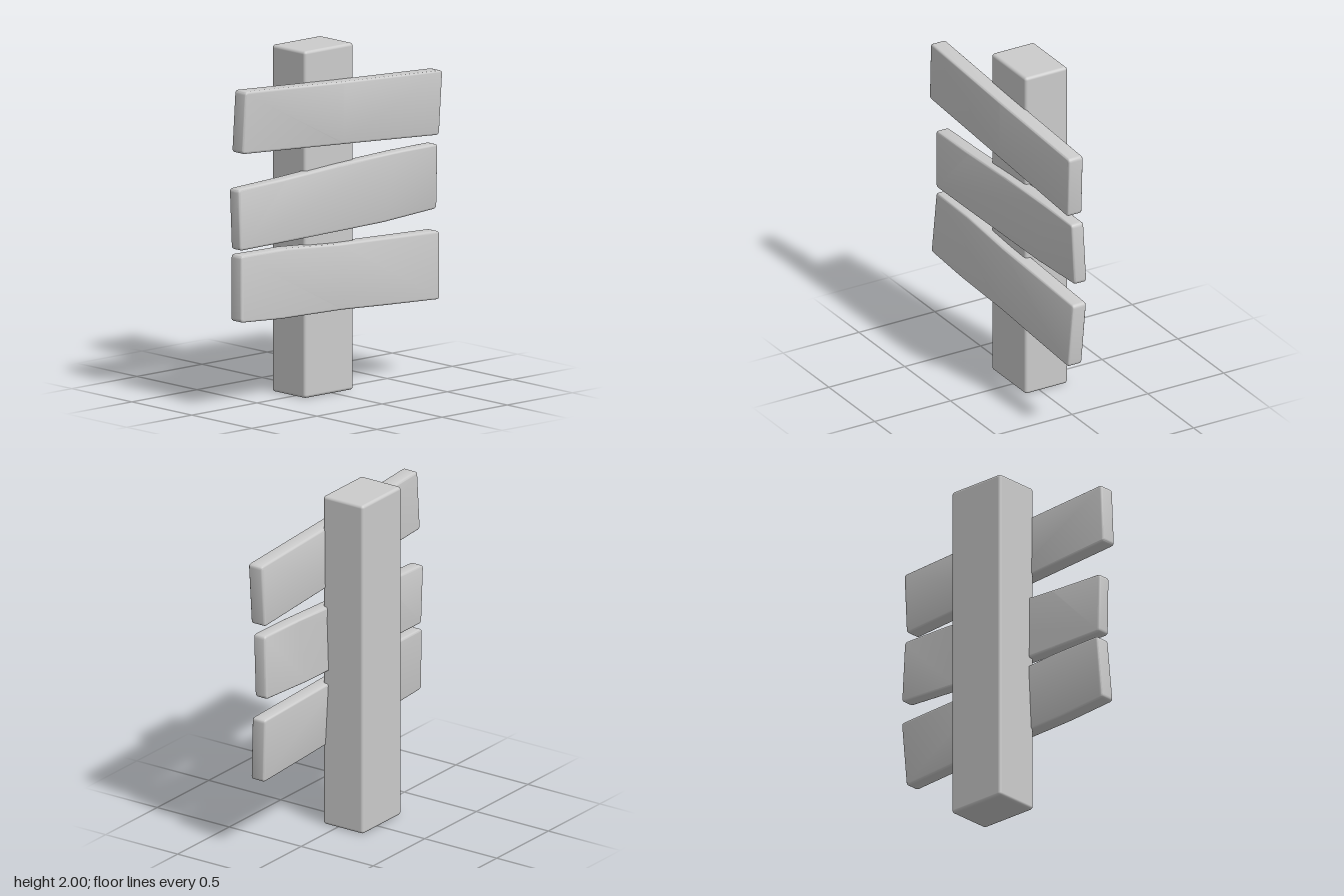
import * as THREE from 'three';
import { toCreasedNormals } from 'three/addons/utils/BufferGeometryUtils.js';
import { RoundedBoxGeometry } from 'three/addons/geometries/RoundedBoxGeometry.js';

const grey = new THREE.MeshStandardMaterial({ color: 0xcccccc });

// Closed outline with small rounded corners
function roundedOutline(points, radius) {
  const pts = points.map(([z, y]) => new THREE.Vector2(-z, y));
  const shape = new THREE.Shape();
  pts.forEach((p, i) => {
    const prev = pts[(i + pts.length - 1) % pts.length];
    const next = pts[(i + 1) % pts.length];
    const a = p.clone().add(prev.clone().sub(p).setLength(radius));
    const b = p.clone().add(next.clone().sub(p).setLength(radius));
    if (i === 0) shape.moveTo(a.x, a.y);
    else shape.lineTo(a.x, a.y);
    shape.quadraticCurveTo(p.x, p.y, b.x, b.y);
  });
  shape.closePath();
  return shape;
}

// Bevelled board: outline in (z, y), thickness along x, leaning and twisting slightly
function board({ name, outline, x, thickness, midY, lean = 0, twist = 0, drift = 0 }) {
  const bevel = 0.012;
  const geo = new THREE.ExtrudeGeometry(roundedOutline(outline, 0.022), {
    depth: thickness - 2 * bevel,
    bevelThickness: bevel,
    bevelSize: bevel,
    bevelOffset: -bevel,
    bevelSegments: 3,
    curveSegments: 4,
  });
  geo.translate(0, 0, bevel - thickness / 2);
  geo.rotateY(Math.PI / 2);
  const pos = geo.attributes.position;
  for (let i = 0; i < pos.count; i++) {
    const dy = pos.getY(i) - midY, z = pos.getZ(i);
    pos.setX(i, pos.getX(i) + x + lean * dy - twist * z * dy - drift * z);
  }
  const mesh = new THREE.Mesh(toCreasedNormals(geo, 0.6), grey);
  mesh.name = name;
  return mesh;
}

export function createModel() {
  const group = new THREE.Group();
  group.name = 'plankSignpost';

  // Upright post
  const post = new THREE.Mesh(new RoundedBoxGeometry(0.28, 2, 0.375, 3, 0.018), grey);
  post.name = 'post';
  post.position.set(-0.042, 1, 0.033);
  group.add(post);

  // Three crooked boards, outlined from the front bottom corner
  group.add(
    board({
      name: 'topBoard', x: 0.13, thickness: 0.095, midY: 1.63, lean: 0.012,
      outline: [[0.77, 1.497], [0, 1.447], [-0.742, 1.397], [-0.764, 1.768], [0, 1.808], [0.75, 1.855]],
    }),
    board({
      name: 'middleBoard', x: 0.101, thickness: 0.08, midY: 1.13, lean: 0.015, twist: 0.04, drift: 0.004,
      outline: [[0.755, 0.932], [0.4, 0.934], [0, 0.938], [-0.35, 0.942], [-0.757, 0.965],
        [-0.75, 1.342], [-0.45, 1.339], [0, 1.323], [0.4, 1.3], [0.766, 1.285]],
    }),
    board({
      name: 'bottomBoard', x: 0.113, thickness: 0.09, midY: 0.68, lean: -0.055, drift: 0.004,
      outline: [[0.771, 0.523], [0.45, 0.502], [0, 0.491], [-0.35, 0.47], [-0.746, 0.449],
        [-0.764, 0.838], [0, 0.868], [0.4, 0.898], [0.75, 0.903]],
    }),
  );
  return group;
}
